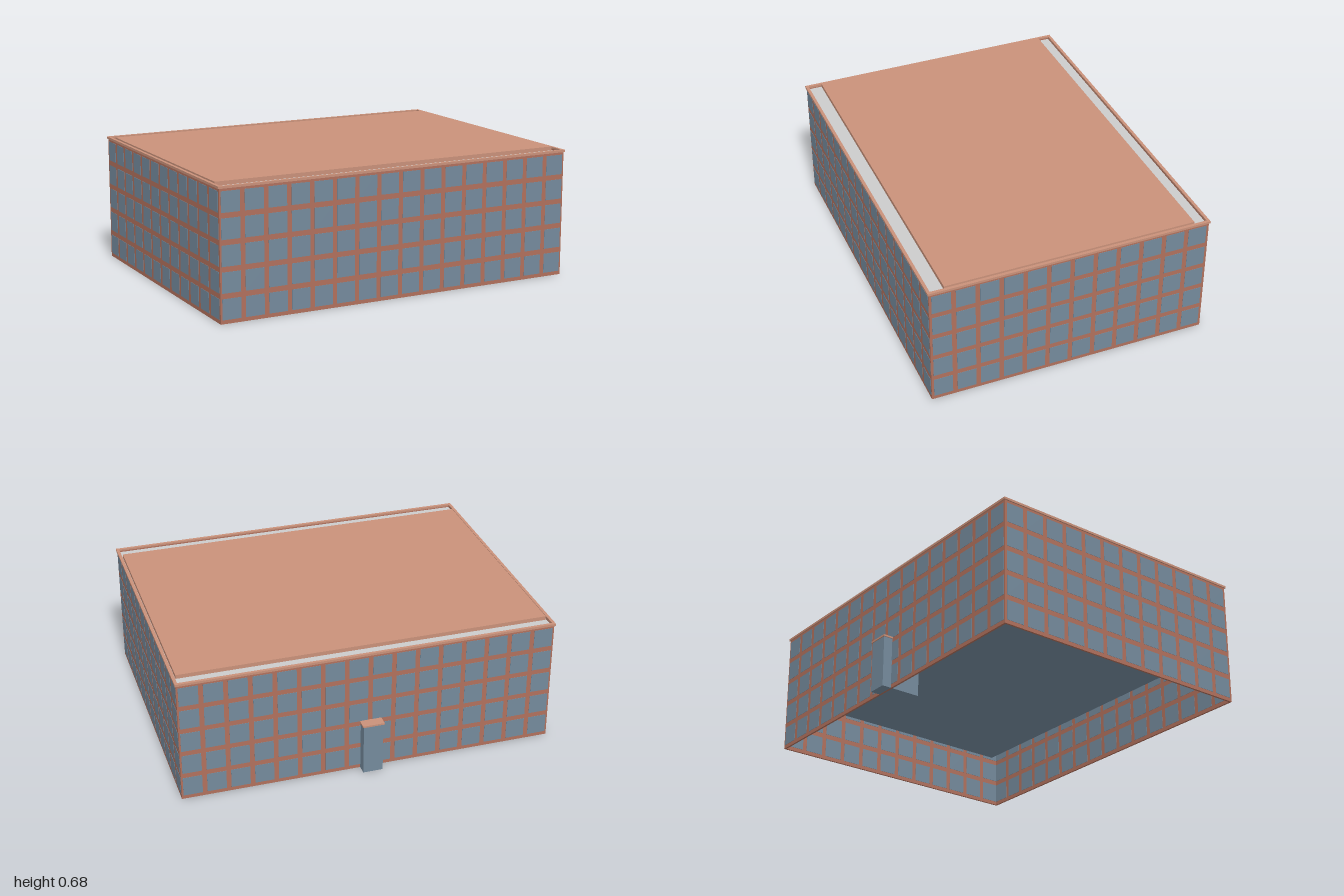
import * as THREE from 'three';
import { mergeGeometries } from 'three/addons/utils/BufferGeometryUtils.js';

const brick = new THREE.MeshStandardMaterial({ color: 0xb0705c });
const trim = new THREE.MeshStandardMaterial({ color: 0xc9917a });
const glass = new THREE.MeshStandardMaterial({ color: 0x748a9c });
const grey = new THREE.MeshStandardMaterial({ color: 0xcccccc });

const HEIGHT = 0.67, HALF_X = 0.994, FRONT = 0.774, BACK = -0.723;
const MID_Z = (FRONT + BACK) / 2, DEPTH = FRONT - BACK;
const THICK = 0.01, PITCH = 0.1247, PANE_W = 0.1, PANE_H = 0.105;

function add(parent, name, geometry, material, x = 0, y = 0, z = 0) {
  const mesh = new THREE.Mesh(geometry, material);
  mesh.name = name;
  mesh.position.set(x, y, z);
  parent.add(mesh);
  return mesh;
}

// Box given by its lower and upper corners
function block(parent, name, material, [x0, y0, z0], [x1, y1, z1]) {
  return add(parent, name, new THREE.BoxGeometry(x1 - x0, y1 - y0, z1 - z0), material,
    (x0 + x1) / 2, (y0 + y1) / 2, (z0 + z1) / 2);
}

function rect(Type, x0, y0, x1, y1) {
  return new Type([[x0, y0], [x1, y0], [x1, y1], [x0, y1]].map(p => new THREE.Vector2(...p)));
}

// Brick slab with five rows of panes set through it; its outer face lies at local z = 0
function wall(name, width, columns) {
  const group = new THREE.Group();
  group.name = name;
  block(group, 'brickwork', brick, [-width / 2, 0, -THICK], [width / 2, HEIGHT, 0]);
  const panes = [];
  for (let row = 0; row < 5; row++) {
    for (let col = 0; col < columns; col++) {
      const x = (col - (columns - 1) / 2) * PITCH;
      const y = 0.0725 + row * 0.1322;
      panes.push(new THREE.BoxGeometry(PANE_W, PANE_H, THICK + 0.003).translate(x, y, -THICK / 2));
    }
  }
  add(group, 'windowPanes', mergeGeometries(panes), glass);
  return group;
}

export function createModel() {
  const model = new THREE.Group();
  model.name = 'officeBuilding';

  // Four facades
  const sides = [
    ['frontWall', 2 * HALF_X, 16, 0, FRONT, 0],
    ['backWall', 2 * HALF_X, 16, 0, BACK, Math.PI],
    ['leftWall', DEPTH, 12, HALF_X, MID_Z, Math.PI / 2],
    ['rightWall', DEPTH, 12, -HALF_X, MID_Z, -Math.PI / 2],
  ];
  for (const [name, width, columns, x, z, turn] of sides) {
    const side = wall(name, width, columns);
    side.position.set(x, 0, z);
    side.rotation.y = turn;
    model.add(side);
  }

  // Thin cornice ring around the roof edge
  const ring = rect(THREE.Shape, -1, -DEPTH / 2 - 0.006, 1, DEPTH / 2 + 0.006);
  ring.holes.push(rect(THREE.Path, -0.984, -DEPTH / 2 + 0.01, 0.984, DEPTH / 2 - 0.01));
  const cornice = new THREE.ExtrudeGeometry(ring, { depth: 0.012, bevelEnabled: false });
  cornice.rotateX(-Math.PI / 2);
  add(model, 'cornice', cornice, trim, 0, 0.667, MID_Z);

  // Grey gutter deck, raised roof, and the core seen from the open base
  block(model, 'gutterDeck', grey, [-0.985, 0.648, BACK + 0.009], [0.985, 0.663, FRONT - 0.009]);
  block(model, 'roof', trim, [-0.978, 0.655, -0.648], [0.978, 0.684, 0.69]);
  block(model, 'innerCore', glass, [-0.945, 0.28, -0.65], [0.945, 0.65, 0.7]);

  // Glazed rear entrance reaching into the building, with its canopy
  block(model, 'entrance', glass, [-0.055, 0, -0.775], [0.05, 0.277, -0.555]);
  block(model, 'entranceCanopy', trim, [-0.06, 0.277, -0.78], [0.055, 0.286, -0.715]);

  return model;
}
